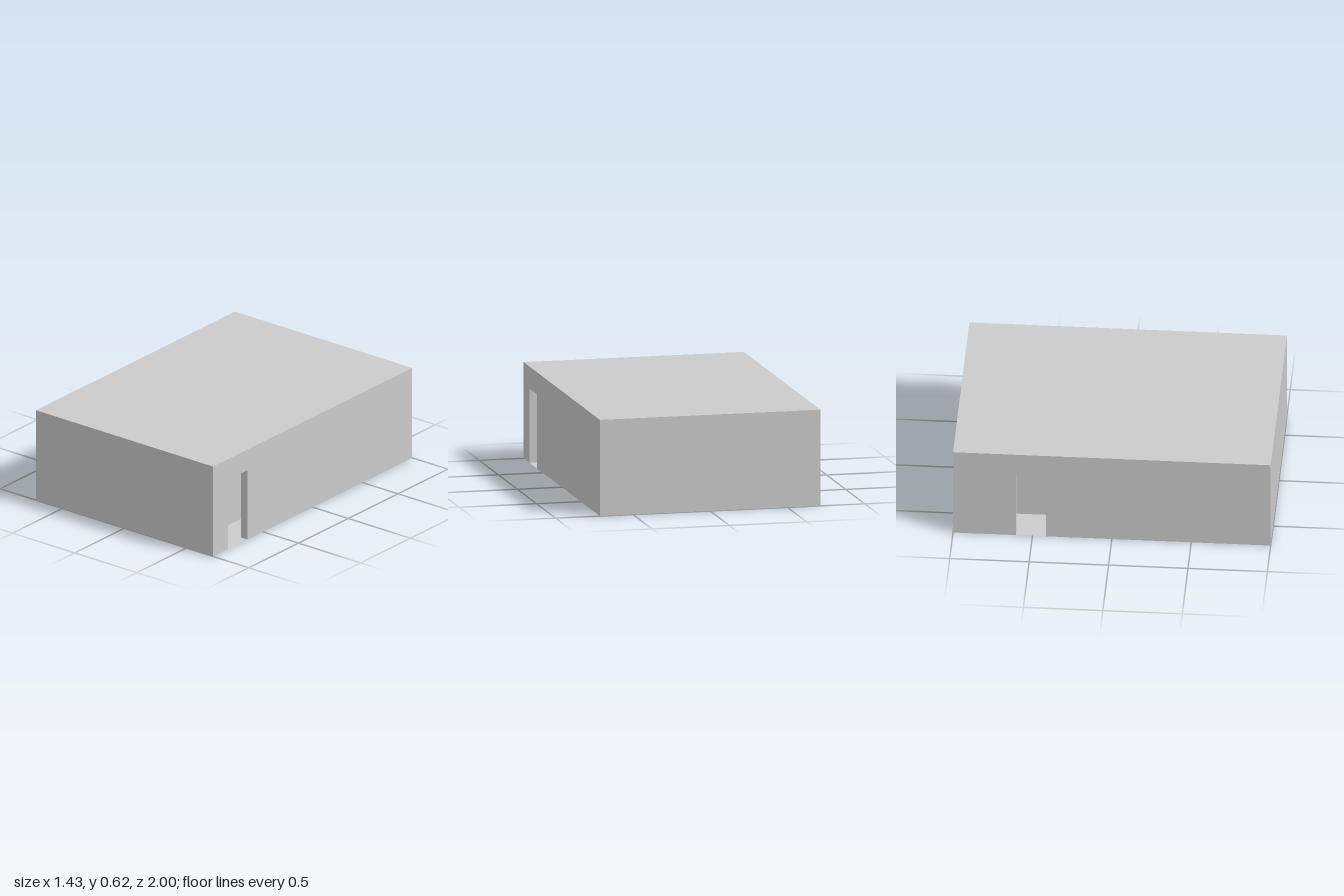
import * as THREE from 'three';

const W = 0.713, L = 1, T = 0.052, H = 0.6, ROOF = 0.015;  // half width, half length, wall, wall height
const IN = 0.435, OUT = 0.478;                             // partition faces
const DOOR = 0.473;                                        // door height

const material = new THREE.MeshStandardMaterial({ color: 0xcccccc, side: THREE.DoubleSide, flatShading: true });

// Drop the faces lying on the ground, so the walls are hollow underneath
function openBottom(geometry) {
  const g = geometry.index ? geometry.toNonIndexed() : geometry;
  const p = g.attributes.position, kept = [];
  for (let i = 0; i < p.count; i += 3) {
    if (Math.max(p.getY(i), p.getY(i + 1), p.getY(i + 2)) < 1e-4) continue;
    for (let k = i; k < i + 3; k++) kept.push(p.getX(k), p.getY(k), p.getZ(k));
  }
  const result = new THREE.BufferGeometry();
  result.setAttribute('position', new THREE.Float32BufferAttribute(kept, 3));
  result.computeVertexNormals();
  return result;
}

// Wall running along z from x0 to x1, with a doorway between z0 and z1
function doorWall(x0, x1, z0, z1, end) {
  const outline = [[-end, 0], [z0, 0], [z0, DOOR], [z1, DOOR], [z1, 0], [end, 0], [end, H], [-end, H]];
  const shape = new THREE.Shape(outline.map(([z, y]) => new THREE.Vector2(z, y)));
  const g = new THREE.ExtrudeGeometry(shape, { depth: x1 - x0, bevelEnabled: false });
  return openBottom(g.rotateY(-Math.PI / 2).translate(x1, 0, 0));
}

export function createModel() {
  const model = new THREE.Group();
  const add = (name, geometry, parent = model) => {
    const mesh = new THREE.Mesh(geometry, material);
    mesh.name = name;
    parent.add(mesh);
    return mesh;
  };

  // Long walls and partitions: x0, x1, doorway z0, z1, half length
  const walls = [
    ['leftWall', W - T, W, 0.655, 0.85, L],
    ['rightWall', -W, -W + T, -0.605, -0.416, L],
    ['leftPartition', IN, OUT, -0.81, -0.61, L - T],
    ['rightPartition', -OUT, -IN, 0.575, 0.77, L - T],
  ];
  for (const [name, ...size] of walls) add(name, doorWall(...size));

  // End walls
  for (const [name, s] of [['frontWall', 1], ['backWall', -1]]) {
    const g = new THREE.BoxGeometry(2 * (W - T), H, T).translate(0, H / 2, s * (L - T / 2));
    add(name, openBottom(g));
  }

  // Floor: hall, two side corridors and a threshold in every doorway
  const floor = new THREE.Group();
  floor.name = 'floor';
  model.add(floor);
  const tile = (name, x0, x1, z0, z1) => add(name, new THREE.PlaneGeometry(x1 - x0, z1 - z0)
    .rotateX(-Math.PI / 2).translate((x0 + x1) / 2, 0, (z0 + z1) / 2), floor);
  tile('hallFloor', -IN, IN, -L + T, L - T);
  tile('leftCorridorFloor', OUT, W - T, -L + T, L - T);
  tile('rightCorridorFloor', -W + T, -OUT, -L + T, L - T);
  for (const [name, x0, x1, z0, z1] of walls) tile(name + 'Threshold', x0, x1, z0, z1);

  // Flat roof
  add('roof', new THREE.BoxGeometry(2 * W, ROOF, 2 * L).translate(0, H + ROOF / 2, 0));
  return model;
}
